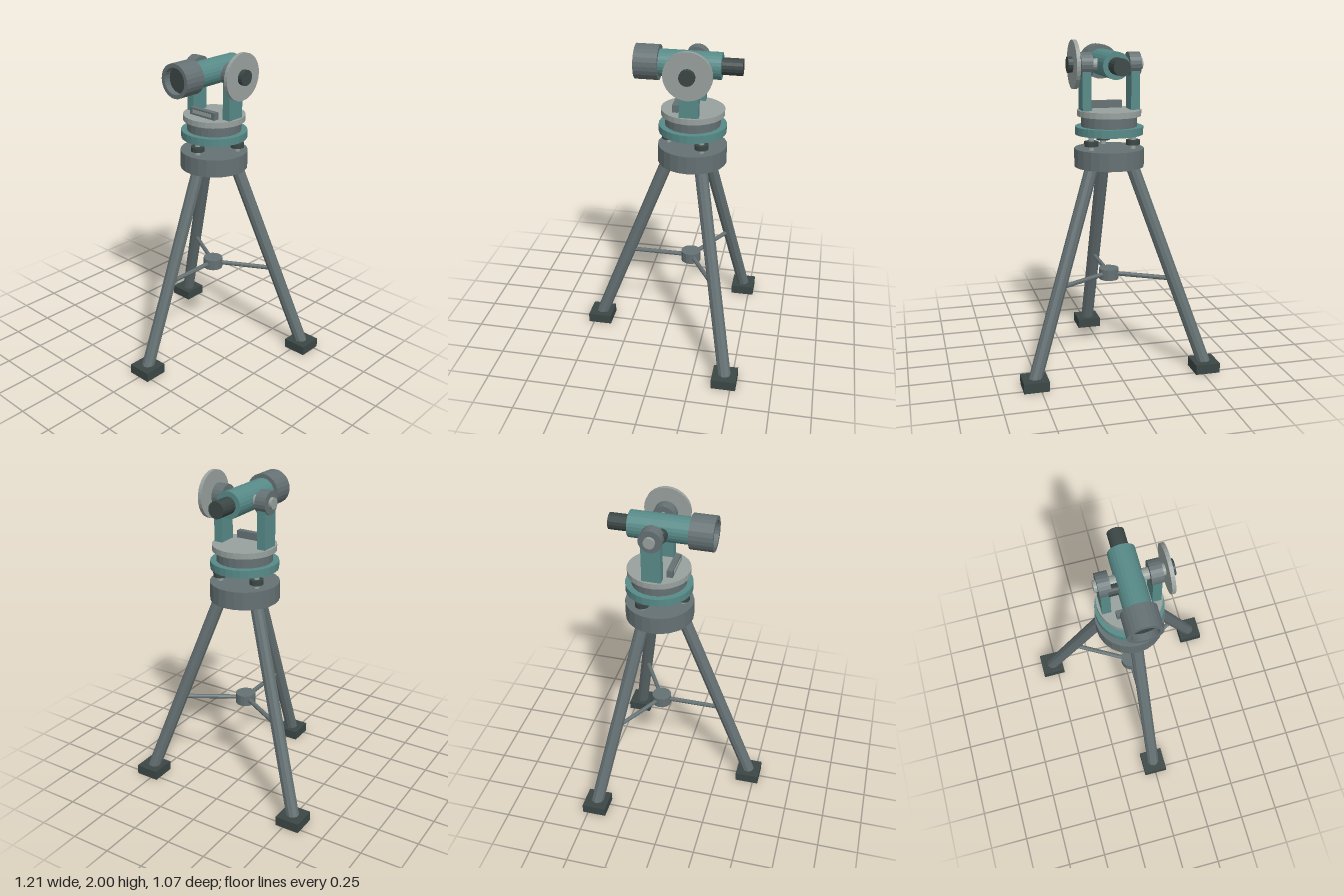
import * as THREE from 'three';

const material = (name, color) => {
  const m = new THREE.MeshStandardMaterial({ color, flatShading: true });
  m.name = name;
  return m;
};

export function createModel() {
  const metal = material('grey metal', 0x657173);
  const teal = material('teal enamel', 0x578a88);
  const silver = material('pale metal', 0x98a19e);
  const dark = material('dark rubber', 0x3b4745);

  const model = new THREE.Group();
  model.name = 'surveyingInstrument';
  // everything is built around the vertical axis of the instrument
  const body = new THREE.Group();
  body.name = 'instrument';
  body.position.z = -0.152;
  model.add(body);

  const add = (name, geometry, mat, x = 0, y = 0, z = 0) => {
    const mesh = new THREE.Mesh(geometry, mat);
    mesh.name = name;
    mesh.position.set(x, y, z);
    body.add(mesh);
    return mesh;
  };
  const box = (name, mat, w, h, d, x, y, z) =>
    add(name, new THREE.BoxGeometry(w, h, d), mat, x, y, z);
  // upright cylinder from y0 to y1
  const disc = (name, mat, r, y0, y1, x = 0, z = 0, sides = 24) =>
    add(name, new THREE.CylinderGeometry(r, r, y1 - y0, sides), mat, x, (y0 + y1) / 2, z);
  // cylinder along x
  const across = (name, mat, r, x0, x1, y, z = 0, sides = 24) => {
    const m = add(name, new THREE.CylinderGeometry(r, r, x1 - x0, sides), mat, (x0 + x1) / 2, y, z);
    m.rotation.z = -Math.PI / 2;
    return m;
  };
  // cylinder along z
  const along = (name, mat, r, z0, z1, y, sides = 24) => {
    const m = add(name, new THREE.CylinderGeometry(r, r, z1 - z0, sides), mat, 0, y, (z0 + z1) / 2);
    m.rotation.x = Math.PI / 2;
    return m;
  };
  // round bar between two points
  const bar = (name, mat, r, a, b, sides) => {
    const m = add(name, new THREE.CylinderGeometry(r, r, a.distanceTo(b), sides), mat);
    m.position.copy(a).lerp(b, 0.5);
    m.quaternion.setFromUnitVectors(new THREE.Vector3(0, 1, 0), b.clone().sub(a).normalize());
    return m;
  };

  // tripod legs, feet, spreader arms and levelling screws, three of each
  for (let i = 0; i < 3; i++) {
    const a = (i * Math.PI * 2) / 3;
    const at = (r, y) => new THREE.Vector3(Math.sin(a) * r, y, Math.cos(a) * r);
    const foot = at(0.61, 0.03);
    bar('leg', metal, 0.04, at(0.61, 0.04), at(0.138, 1.27), 10);
    box('foot', dark, 0.152, 0.06, 0.152, foot.x, foot.y, foot.z);
    bar('spreaderArm', metal, 0.014, at(0, 0.57), at(0.4, 0.57), 8);
    const s = at(0.147, 0);
    disc('levellingScrew', silver, 0.018, 1.35, 1.45, s.x, s.z, 12);
    disc('levellingKnob', dark, 0.042, 1.385, 1.415, s.x, s.z, 16);
  }
  disc('spreaderHub', metal, 0.062, 0.535, 0.602, 0, 0, 16);

  // head and base plates
  disc('tripodHead', metal, 0.21, 1.25, 1.36);
  disc('levellingBase', teal, 0.205, 1.445, 1.492, 0, 0, 28);
  disc('horizontalCircle', metal, 0.168, 1.49, 1.557);
  disc('upperPlate', silver, 0.192, 1.555, 1.59, 0, 0, 28);

  // plate level
  box('levelHousing', metal, 0.2, 0.045, 0.036, 0, 1.612, 0.092);
  box('levelVial', silver, 0.15, 0.02, 0.006, 0, 1.613, 0.111);

  // standards with bearings
  const axisY = 1.858;
  for (const side of [-1, 1]) {
    box('standard', teal, 0.054, 0.27, 0.115, side * 0.147, 1.722, 0);
    across('bearing', metal, 0.07, side * 0.146 - 0.035, side * 0.146 + 0.035, axisY, 0, 20);
  }
  across('axle', silver, 0.034, -0.2, 0.21, axisY, 0, 16);
  across('verticalCircle', silver, 0.143, 0.202, 0.225, axisY, 0, 32);
  across('clampKnob', dark, 0.047, 0.22, 0.253, axisY, 0, 16);
  across('focusKnob', dark, 0.034, -0.13, -0.06, axisY, 0.046, 14);

  // telescope
  along('telescopeTube', teal, 0.08, -0.168, 0.21, axisY);
  along('eyepiece', dark, 0.05, -0.29, -0.16, axisY, 16);
  const hoodProfile = [[0.07, 0.2], [0.104, 0.2], [0.104, 0.342], [0.08, 0.342], [0.08, 0.29]]
    .map(([r, z]) => new THREE.Vector2(r, z));
  const hood = add('objectiveHood', new THREE.LatheGeometry(hoodProfile, 24), metal, 0, axisY, 0);
  hood.rotation.x = Math.PI / 2;
  along('objectiveLens', dark, 0.081, 0.285, 0.3, axisY);

  return model;
}
